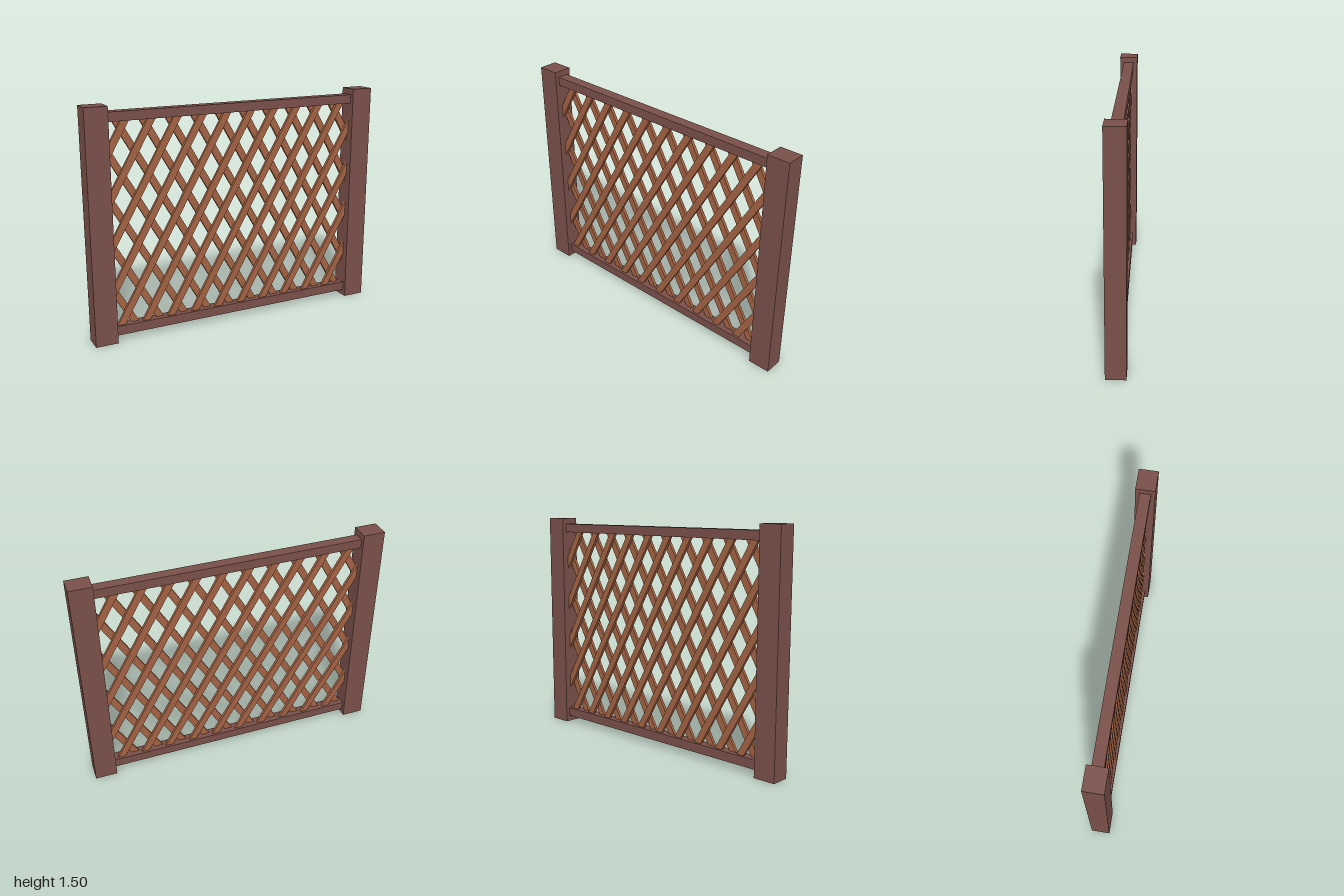
import * as THREE from 'three';

const X = 0.857, Y0 = 0.085, Y1 = 1.42; // lattice limits, tucked into the frame

// Keep the part of a polygon where f(point) >= 0
function clip(poly, f) {
  const out = [];
  poly.forEach((a, i) => {
    const b = poly[(i + 1) % poly.length];
    const fa = f(a), fb = f(b);
    if (fa >= 0) out.push(a);
    if (fa * fb < 0) out.push(a.clone().lerp(b, fa / (fa - fb)));
  });
  return out;
}

export function createModel() {
  const model = new THREE.Group();
  const frameWood = new THREE.MeshStandardMaterial({ color: 0x794f49 });
  frameWood.name = 'dark frame wood';
  const slatWood = new THREE.MeshStandardMaterial({ color: 0xa26243 });
  slatWood.name = 'light slat wood';

  function box(name, w, h, d, x, y) {
    const mesh = new THREE.Mesh(new THREE.BoxGeometry(w, h, d), frameWood);
    mesh.name = name;
    mesh.position.set(x, y, 0);
    model.add(mesh);
  }

  // Posts and rails
  box('leftPost', 0.145, 1.495, 0.124, 0.9275, 0.7475);
  box('rightPost', 0.145, 1.495, 0.124, -0.9275, 0.7475);
  box('bottomRail', 1.712, 0.06, 0.07, 0, 0.07);
  box('topRail', 1.712, 0.058, 0.07, 0, 1.427);

  // Two layers of slanted slats, trimmed to the opening
  const pitch = 0.169, halfWidth = 0.026, thick = 0.02;
  const crossX = -0.091, crossY = 0.77, slope = Math.sqrt(3);
  for (const dir of [1, -1]) {
    const layer = new THREE.Group();
    layer.name = dir > 0 ? 'frontSlats' : 'backSlats';
    for (let i = -12; i <= 12; i++) {
      const at = (y, side) =>
        new THREE.Vector2(crossX + i * pitch + dir * (y - crossY) / slope + side * halfWidth, y);
      let poly = [at(Y0, -1), at(Y0, 1), at(Y1, 1), at(Y1, -1)];
      poly = clip(poly, p => p.x + X);
      poly = clip(poly, p => X - p.x);
      if (poly.length < 3) continue;
      const geo = new THREE.ExtrudeGeometry(new THREE.Shape(poly), { depth: thick, bevelEnabled: false });
      const slat = new THREE.Mesh(geo, slatWood);
      slat.name = 'slat';
      slat.position.z = dir > 0 ? 0 : -thick;
      layer.add(slat);
    }
    model.add(layer);
  }
  return model;
}
